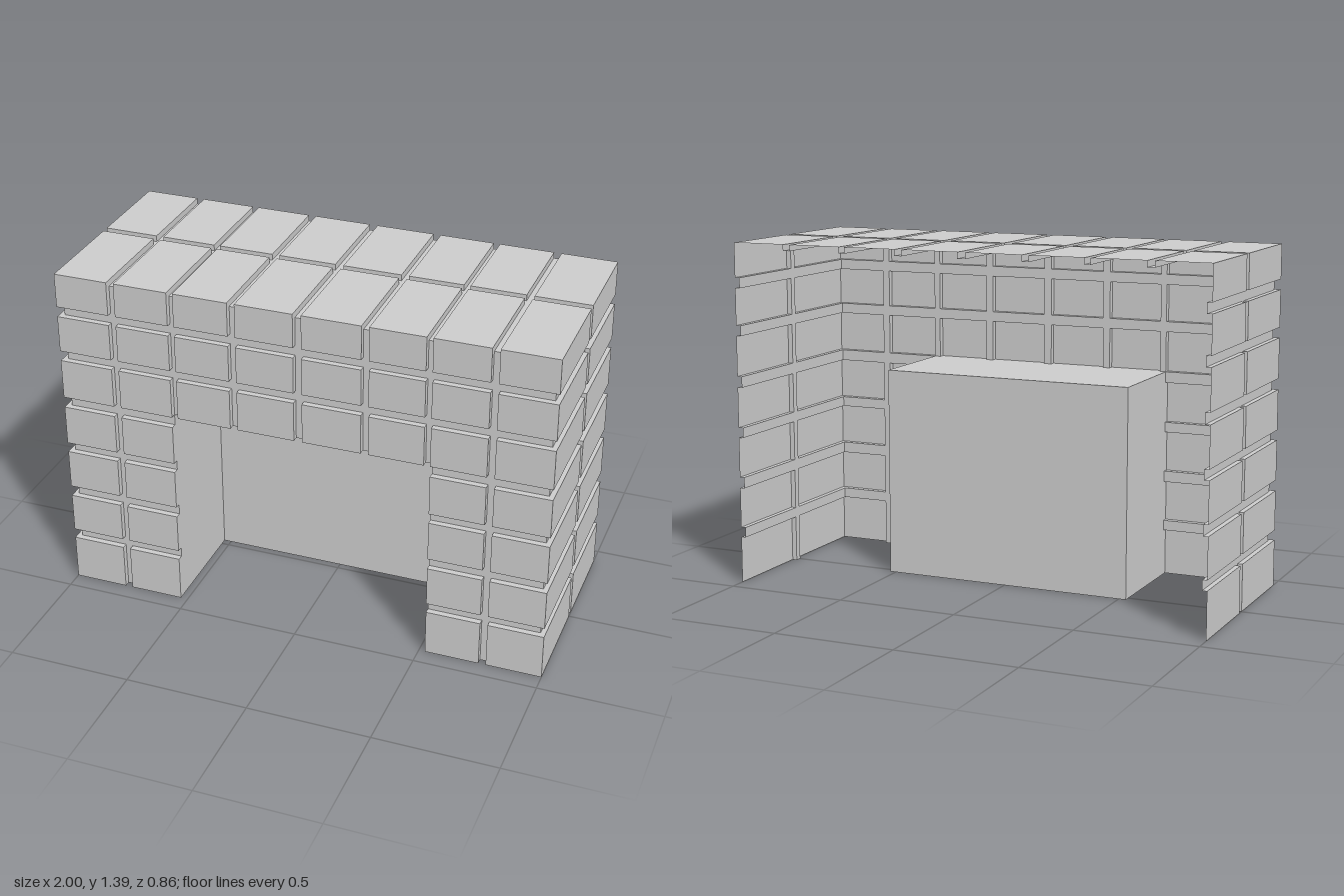
import * as THREE from 'three';

// Outer size, groove floor planes and joints between the blocks
const W = 1, H = 1.395, D = 0.428;
const IX = 0.98, IY = 1.37, IZ = 0.403;
const xJoints = [[-0.78, -0.75], [-0.53, -0.505], [-0.283, -0.253], [-0.02, 0.013], [0.25, 0.28], [0.5, 0.525], [0.745, 0.775]];
const yJoints = [[0.19, 0.231], [0.395, 0.44], [0.604, 0.645], [0.81, 0.855], [1.02, 1.062], [1.213, 1.255]];
const zJoints = [[-0.027, 0.002]];
const alcove = { x0: -0.53, x1: 0.525, top: 0.855, back: -0.027 };

const inJoint = (v, joints) => joints.some(([a, b]) => v > a && v < b);
const inAlcove = ([x, y, z]) => x > alcove.x0 && x < alcove.x1 && y < alcove.top && z > alcove.back && z < D;

// True where the body is filled: a box, less the alcove and the grooves cut in its skin
function filled(p) {
  const [x, y, z] = p;
  if (Math.abs(x) > W || y < 0 || y > H || Math.abs(z) > D || inAlcove(p)) return false;
  const side = Math.abs(x) > IX, top = y > IY, front = z > IZ;
  if (inJoint(y, yJoints) && (side || front)) return false;
  if (inJoint(x, xJoints) && (front || top)) return false;
  if (inJoint(z, zJoints) && (side || top)) return false;
  return true;
}

// Which part a face belongs to
function partOf(c, outside) {
  if (inAlcove(outside)) return 'alcove';
  if (c[1] > IY - 0.001) return 'topPanel';
  if (c[2] > IZ - 0.001) return 'frontWall';
  return c[0] > 0 ? 'leftSideWall' : 'rightSideWall';
}

export function createModel() {
  const group = new THREE.Group();
  group.name = 'blockFireplace';

  // Grid lines through every joint, padded by one empty cell on each end
  const lines = [
    [-2, -W, -IX, ...xJoints.flat(), IX, W, 2],
    [-1, 0, ...yJoints.flat(), IY, H, 2],
    [-2, -D, ...zJoints.flat(), IZ, D, 2],
  ];
  const mid = (axis, i) => (lines[axis][i] + lines[axis][i + 1]) / 2;
  const parts = {};

  // Skin between filled and empty cells; the back and underside stay open
  function addFaces(cell) {
    const p = cell.map((i, axis) => mid(axis, i));
    if (!filled(p)) return;
    for (let a = 0; a < 3; a++) {
      for (const dir of [-1, 1]) {
        const q = p.slice();
        q[a] = mid(a, cell[a] + dir);
        if (filled(q) || (a === 2 && q[2] < -D) || (a === 1 && q[1] < 0)) continue;
        const u = (a + 1) % 3, v = (a + 2) % 3;
        const plane = lines[a][cell[a] + (dir > 0 ? 1 : 0)];
        const corner = (du, dv) => {
          const c = [0, 0, 0];
          c[a] = plane;
          c[u] = lines[u][cell[u] + du];
          c[v] = lines[v][cell[v] + dv];
          return c;
        };
        const quad = [corner(0, 0), corner(1, 0), corner(1, 1), corner(0, 1)];
        if (dir < 0) quad.reverse();
        const centre = p.slice();
        centre[a] = plane;
        const out = (parts[partOf(centre, q)] ??= []);
        for (const k of [0, 1, 2, 0, 2, 3]) out.push(...quad[k]);
      }
    }
  }
  for (let i = 1; i < lines[0].length - 2; i++)
    for (let j = 1; j < lines[1].length - 2; j++)
      for (let k = 1; k < lines[2].length - 2; k++) addFaces([i, j, k]);

  // One mesh per part
  const material = new THREE.MeshStandardMaterial({ color: 0xcccccc, side: THREE.DoubleSide, flatShading: true });
  for (const [name, positions] of Object.entries(parts)) {
    const geometry = new THREE.BufferGeometry();
    geometry.setAttribute('position', new THREE.Float32BufferAttribute(positions, 3));
    geometry.computeVertexNormals();
    const mesh = new THREE.Mesh(geometry, material);
    mesh.name = name;
    group.add(mesh);
  }
  return group;
}
